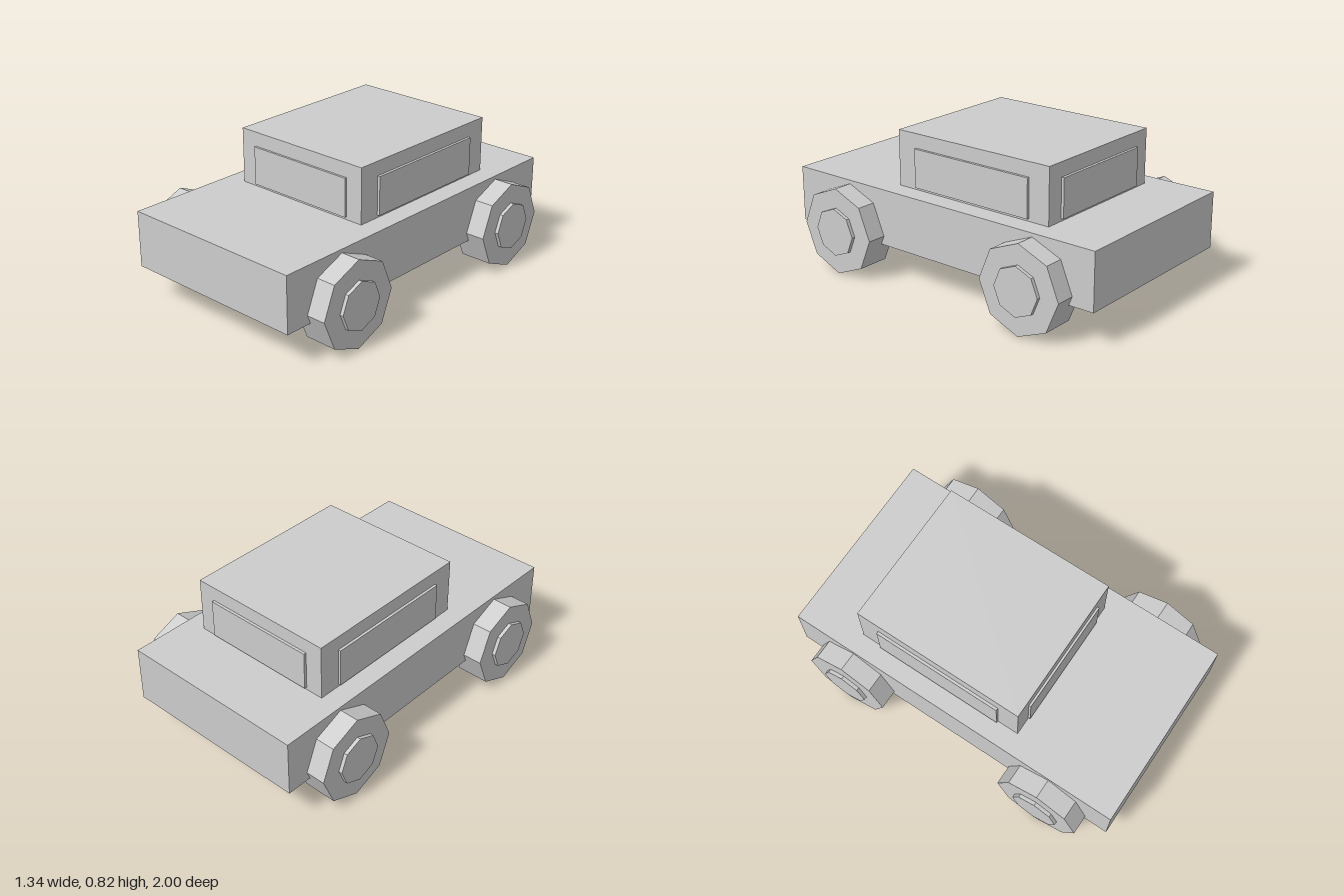
import * as THREE from 'three';

export function createModel() {
  const car = new THREE.Group();
  car.name = 'car';
  const grey = new THREE.MeshStandardMaterial({ color: 0xcccccc, flatShading: true });
  grey.name = 'plain grey';

  const add = (name, geometry, x, y, z, parent = car) => {
    const mesh = new THREE.Mesh(geometry, grey);
    mesh.name = name;
    mesh.position.set(x, y, z);
    parent.add(mesh);
    return mesh;
  };
  const box = (w, h, d) => new THREE.BoxGeometry(w, h, d);
  // Octagonal disc with its axle along x
  const disc = (radius, width) =>
    new THREE.CylinderGeometry(radius, radius, width, 8).rotateZ(Math.PI / 2);

  // Body and cabin
  add('body', box(1.08, 0.315, 2), 0, 0.3525, 0);
  add('cabin', box(0.85, 0.31, 0.995), 0, 0.665, -0.145);

  // Raised window panels, slightly sunk into the cabin
  const windowY = 0.6325, windowH = 0.215;
  add('windscreen', box(0.65, windowH, 0.03), 0, windowY, 0.35);
  add('rearWindow', box(0.65, windowH, 0.03), 0, windowY, -0.643);
  for (const side of [-1, 1]) {
    const label = side > 0 ? 'left' : 'right';
    add(label + 'Window', box(0.03, windowH, 0.75), side * 0.425, windowY, -0.145);

    // Wheels with raised hubs
    for (const [end, z] of [['Front', 0.62], ['Rear', -0.63]]) {
      const wheel = new THREE.Group();
      wheel.name = label + end + 'Wheel';
      wheel.position.set(side * 0.5575, 0.245, z);
      add('tyre', disc(0.245, 0.185), 0, 0, 0, wheel);
      add('hub', disc(0.135, 0.04), side * 0.0925, 0, 0, wheel);
      car.add(wheel);
    }
  }
  return car;
}
